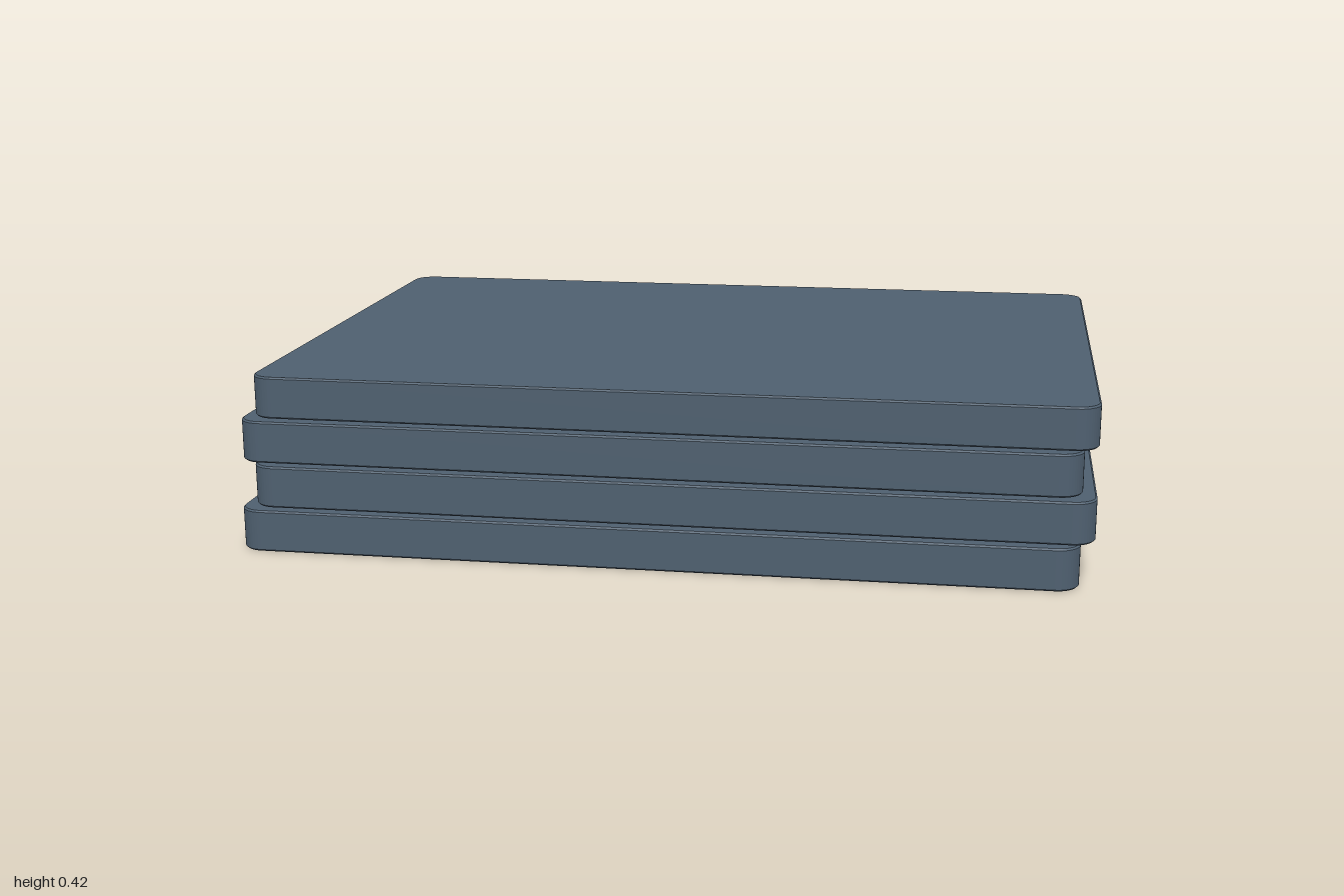
import * as THREE from 'three';

const BEVEL = 0.004;

// Flat slab with rounded vertical corners and a fine edge bevel, base at y = 0
function slabGeometry(width, height, depth, radius) {
  const w = width / 2 - BEVEL, d = depth / 2 - BEVEL, r = radius - BEVEL;
  const outline = new THREE.Shape();
  outline.absarc(w - r, d - r, r, 0, Math.PI / 2);
  outline.absarc(-w + r, d - r, r, Math.PI / 2, Math.PI);
  outline.absarc(-w + r, -d + r, r, Math.PI, Math.PI * 1.5);
  outline.absarc(w - r, -d + r, r, Math.PI * 1.5, Math.PI * 2);
  const geometry = new THREE.ExtrudeGeometry(outline, {
    depth: height - 2 * BEVEL, curveSegments: 6,
    bevelEnabled: true, bevelSize: BEVEL, bevelThickness: BEVEL, bevelSegments: 1,
  });
  return geometry.rotateX(-Math.PI / 2).translate(0, BEVEL, 0);
}

export function createModel() {
  const group = new THREE.Group();
  group.name = 'slabStack';
  const slate = new THREE.MeshStandardMaterial({ color: 0x4f6070 });
  slate.name = 'slate';

  // Four stacked slabs, shifted alternately sideways and narrowing in depth upwards
  for (let i = 0; i < 4; i++) {
    const slab = new THREE.Mesh(slabGeometry(1.968, 0.1, 1.43 - i * 0.02, 0.055), slate);
    slab.name = `slab${i + 1}`;
    slab.position.set(i % 2 ? 0.016 : -0.016, i * 0.106, 0);
    group.add(slab);
  }
  return group;
}
